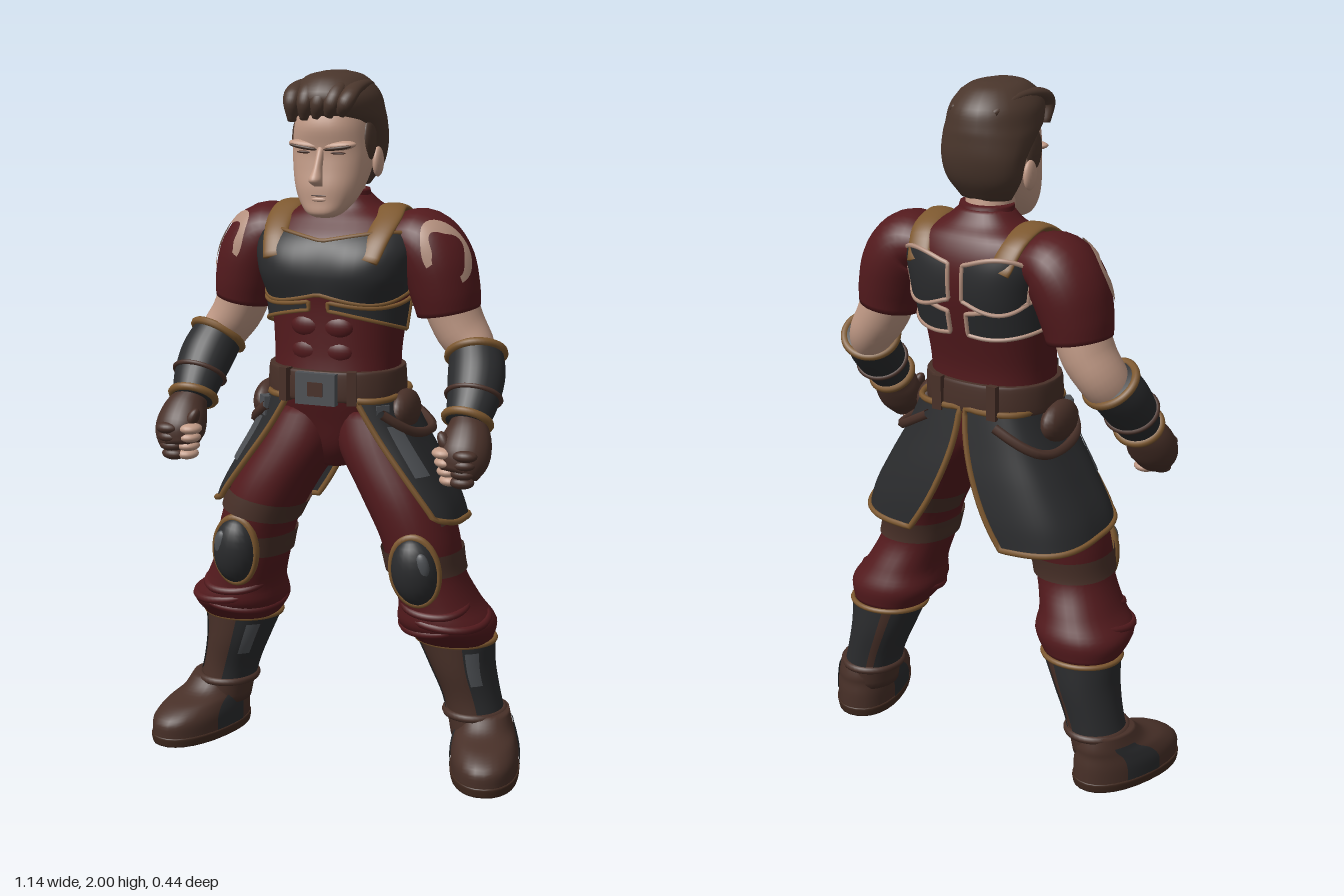
import * as THREE from 'three';

const V = (x, y, z) => new THREE.Vector3(x, y, z);
const RAD = Math.PI / 180;
const lerp = (a, b, t) => a + (b - a) * t;
const paint = (name, color) =>
  Object.assign(new THREE.MeshStandardMaterial({ color, side: THREE.DoubleSide }), { name });

const M = {
  skin: paint('skin', 0xc19a86), hair: paint('hair', 0x4a362c), red: paint('red cloth', 0x531a1d),
  dark: paint('dark leather', 0x2a2b2d), brown: paint('brown leather', 0x483028), gold: paint('ochre trim', 0x7d582f),
  grey: paint('grey metal', 0x4e5155), pale: paint('pale marking', 0xb38f7d), sole: paint('sole', 0x40291f),
};

// Smooth tube surface through sections [x, y, z, rx, rz], listed from the top down.
// Angle 0 is +x, 90 is the front, -90 is the back.
function surf(secs, flat = false, pow = 1) {
  const n = secs.length - 1;
  const pos = new THREE.CatmullRomCurve3(secs.map(s => V(s[0], s[1], s[2])), false, 'catmullrom');
  const rad = new THREE.CatmullRomCurve3(secs.map(s => V(s[3], s[4], 0)), false, 'catmullrom');
  const p = c => Math.sign(c) * Math.abs(c) ** pow;
  const f = (k, deg, off = 0) => {
    const t = Math.min(1, Math.max(0, k / n)), c = pos.getPoint(t), r = rad.getPoint(t);
    const T = flat ? V(0, -1, 0) : pos.getTangent(t);
    const u = V(1, 0, 0).addScaledVector(T, -T.x).normalize(), w = T.clone().cross(u);
    return c.addScaledVector(u, p(Math.cos(deg * RAD)) * (r.x + off))
      .addScaledVector(w, p(Math.sin(deg * RAD)) * (r.y + off));
  };
  f.n = n;
  f.mid = k => pos.getPoint(k / n);
  f.at = y => { // section index at a height
    for (let i = 0; i < n; i++) if (y >= secs[i + 1][1]) return i + (secs[i][1] - y) / (secs[i][1] - secs[i + 1][1]);
    return n;
  };
  return f;
}

function mesh(parent, name, geo, mat) {
  const m = new THREE.Mesh(geo, mat);
  m.name = name;
  parent.add(m);
  return m;
}

function grid(points, idx) {
  const g = new THREE.BufferGeometry().setFromPoints(points);
  g.setIndex(idx);
  g.computeVertexNormals();
  return g;
}

// Closed body from a surf
function body(parent, name, f, mat, N = 28) {
  const R = f.n * 5, pts = [], idx = [];
  for (let i = 0; i <= R; i++) for (let j = 0; j < N; j++) pts.push(f(i / 5, j * 360 / N));
  const c0 = pts.push(f.mid(0)) - 1, c1 = pts.push(f.mid(f.n)) - 1;
  for (let j = 0; j < N; j++) {
    const k = (j + 1) % N;
    for (let i = 0; i < R; i++) {
      const a = i * N + j, b = i * N + k;
      idx.push(a, b, b + N, a, b + N, a + N);
    }
    idx.push(c0, k, j, c1, R * N + j, R * N + k);
  }
  return mesh(parent, name, grid(pts, idx), mat);
}
const sweep = (parent, name, secs, mat, flat, pow) => body(parent, name, surf(secs, flat, pow), mat);

// Open patch f(u, v), with an optional rolled trim around its border
function plate(parent, name, f, mat, trim, r = 0.008, n = 14) {
  const pts = [], idx = [], edge = [];
  for (let i = 0; i <= n; i++) for (let j = 0; j <= n; j++) pts.push(f(i / n, j / n));
  for (let i = 0; i < n; i++) for (let j = 0; j < n; j++) {
    const a = i * (n + 1) + j, b = a + n + 1;
    idx.push(a, b, b + 1, a, b + 1, a + 1);
  }
  mesh(parent, name, grid(pts, idx), mat);
  if (!trim) return;
  for (const e of [q => f(q, 0), q => f(1, q), q => f(1 - q, 1), q => f(0, 1 - q)])
    for (let i = 0; i < n; i++) edge.push(e(i / n));
  mesh(parent, name + 'Trim', new THREE.TubeGeometry(new THREE.CatmullRomCurve3(edge, true), 90, r, 6, true), trim);
}

function ball(parent, name, [x, y, z], [a, b, c], mat, rz = 0) {
  const m = mesh(parent, name, new THREE.SphereGeometry(1, 20, 14), mat);
  m.position.set(x, y, z); m.scale.set(a, b, c); m.rotation.z = rz;
  return m;
}
function box(parent, name, [x, y, z], [a, b, c], mat, ry = 0) {
  const m = mesh(parent, name, new THREE.BoxGeometry(a, b, c), mat);
  m.position.set(x, y, z); m.rotation.y = ry;
  return m;
}
const side = (s, deg) => s > 0 ? deg : 180 - deg;

function buildHead(g) {
  sweep(g, 'head', [[0, 1.9, 0, .1, .12], [0, 1.85, .01, .108, .122], [0, 1.79, .02, .112, .103], [0, 1.74, .027, .109, .1],
    [0, 1.69, .045, .097, .09], [0, 1.65, .065, .079, .07], [0, 1.618, .085, .052, .05], [0, 1.605, .085, .028, .03]], M.skin, true, .88);
  sweep(g, 'neck', [[0, 1.72, -.02, .07, .075], [0, 1.64, -.04, .07, .07], [0, 1.56, -.055, .08, .065]], M.skin, true);
  sweep(g, 'nose', [[0, 1.8, .112, .01, .012], [0, 1.745, .138, .012, .018], [0, 1.712, .155, .019, .022], [0, 1.694, .134, .012, .012]], M.skin, true);
  ball(g, 'lowerLip', [0, 1.657, .128], [.026, .008, .01], M.skin);
  ball(g, 'mouth', [0, 1.668, .13], [.03, .0035, .006], M.brown);
  for (const s of [1, -1]) {
    ball(g, 'browRidge', [s * .046, 1.803, .104], [.054, .014, .024], M.skin, s * .1);
    ball(g, 'eyebrow', [s * .05, 1.798, .121], [.042, .006, .009], M.hair, s * .14);
    ball(g, 'eye', [s * .046, 1.784, .114], [.026, .004, .008], M.brown);
    ball(g, 'ear', [s * .117, 1.752, -.018], [.014, .042, .028], M.skin);
    ball(g, 'sideburn', [s * .104, 1.815, .018], [.017, .06, .038], M.hair);
  }
  sweep(g, 'hair', [[0, 2, .005, .03, .05], [0, 1.985, .006, .08, .1], [0, 1.94, .002, .12, .143], [0, 1.89, -.012, .131, .142],
    [0, 1.855, -.038, .132, .118], [0, 1.8, -.068, .126, .086], [0, 1.74, -.068, .113, .068], [0, 1.685, -.055, .078, .044]], M.hair, true);
  // swept-back locks, parted to one side
  for (let i = 0; i < 5; i++) {
    const x = -.08 + i * .04, h = 1.97 - 2.2 * x * x;
    sweep(g, 'hairLock', [[x * .9 - .012, 1.868 + .005 * i, .12, .012, .01], [x, 1.925, .132, .024, .018], [x * 1.05, h, .08, .024, .016],
      [x, h + .008, -.03, .018, .012], [x * .8, 1.93, -.118, .01, .01]], M.hair);
  }
}

function buildTorso(g) {
  const t = surf([[0, 1.66, -.055, .075, .066], [0, 1.625, -.06, .118, .085], [0, 1.59, -.06, .2, .118], [0, 1.53, -.045, .225, .155],
    [0, 1.45, -.035, .212, .168], [0, 1.35, -.03, .197, .155], [0, 1.22, -.015, .184, .14], [0, 1.12, -.01, .183, .142],
    [0, 1.02, -.02, .175, .125], [0, .94, -.015, .1, .095], [0, .88, -.01, .04, .05]], true, .88);
  body(g, 'shirt', t, M.red, 36);
  sweep(g, 'collar', [[0, 1.672, -.05, .078, .066], [0, 1.64, -.055, .085, .07], [0, 1.6, -.055, .1, .075]], M.red, true);
  // chest armour
  plate(g, 'chestPlate', (u, v) => {
    const m = Math.abs(u - .5) * 2;
    return t(t.at(lerp(1.54 + .022 * Math.sin(m * 2.8), 1.39 - .025 * Math.sin(m * Math.PI), v)), lerp(6, 174, u),
      .012 + .02 * Math.sin(v * Math.PI) * Math.sin(m * Math.PI));
  }, M.dark, M.gold, .006, 22);
  for (const s of [1, -1]) {
    plate(g, 'ribPlate', (u, v) => t(t.at(lerp(1.372 - .015 * Math.sin(u * 3), lerp(1.285, 1.35, u), v)), side(s, lerp(0, 84, u)), .014), M.dark, M.gold, .006);
    // back armour, rounded above and winged below
    plate(g, 'upperBackPlate', (u, v) => t(t.at(lerp(1.53 + .025 * Math.sin(u * Math.PI), 1.43 - .03 * Math.sin(u * Math.PI), v)), side(s, lerp(-34, -86, u)),
      .014 + .014 * Math.sin(u * Math.PI)), M.dark, M.pale, .0065);
    plate(g, 'lowerBackPlate', (u, v) => t(t.at(lerp(lerp(1.45, 1.39, u), lerp(1.35, 1.3, u) + .03 * u ** 4, v)), side(s, lerp(-12, -84, u)), .014), M.dark, M.pale, .0065);
    sweep(g, 'shoulderStrap', [[s * .14, 1.49, .125, .032, .01], [s * .152, 1.55, .08, .036, .012], [s * .16, 1.6, .012, .039, .012],
      [s * .152, 1.623, -.055, .039, .012], [s * .146, 1.594, -.145, .037, .012], [s * .13, 1.52, -.2, .034, .01]], M.gold);
    for (let i = 0; i < 2; i++) ball(g, 'abdominal', [s * .045, 1.3 - i * .07, .103 - i * .002], [.05, .036, .026], M.red);
  }
  // belt, buckle and pouches
  sweep(g, 'belt', [[0, 1.178, -.01, .19, .15], [0, 1.17, -.01, .198, .158], [0, 1.1, -.01, .2, .16], [0, 1.09, -.01, .19, .15]], M.brown, true, .88);
  box(g, 'buckle', [0, 1.13, .152], [.12, .09, .025], M.grey);
  box(g, 'buckleInset', [0, 1.13, .165], [.045, .04, .006], M.brown);
  for (const s of [1, -1]) {
    box(g, 'beltLoop', [s * .1, 1.135, .138], [.026, .095, .028], M.brown, s * .3);
    box(g, 'frontPouch', [s * .172, 1.06, .1], [.04, .055, .035], M.grey, s * .8);
    ball(g, 'hipPouch', [s * .208, 1.055, 0], [.04, .06, .085], M.brown);
    box(g, 'backLoop', [s * .09, 1.135, -.166], [.03, .1, .02], M.brown);
  }
}

function buildSkirt(g) {
  const k = surf([[0, 1.1, -.01, .19, .155], [0, 1, -.015, .24, .166], [0, .9, -.017, .298, .18],
    [0, .8, -.017, .352, .192], [0, .72, -.017, .378, .197]], true, .62);
  for (const s of [1, -1]) {
    plate(g, 'skirtPanel', (u, v) => k(v * (4 - .7 * u * u), side(s, lerp(-89.5 + 13 * v * v, 68 - 36 * v, u)), .004 * Math.sin(u * 9)),
      M.dark, M.gold, .009, 26);
    plate(g, 'skirtScuff', (u, v) => k(lerp(.7, 2.1, v), side(s, lerp(26, 44, u) - 8 * v), .008), M.grey);
    const loop = [...Array(9)].map((_, i) => k(.35 + .75 * Math.sin(i / 8 * Math.PI), side(s, lerp(-70, 45, i / 8)), .01));
    mesh(g, 'hangingStrap', new THREE.TubeGeometry(new THREE.CatmullRomCurve3(loop), 30, .014, 6), M.brown);
  }
}

function buildArm(g, s) {
  const X = a => a.map(([x, ...r]) => [s * x, ...r]);
  const sleeve = surf(X([[.15, 1.54, -.07, .06, .09], [.23, 1.53, -.07, .094, .115], [.275, 1.475, -.07, .104, .12],
    [.3, 1.4, -.07, .099, .112], [.312, 1.335, -.072, .09, .1]]));
  body(g, 'sleeve', sleeve, M.red);
  // hooked marking with an uneven inner edge
  plate(g, 'shoulderMark', (u, v) => {
    const p = lerp(-80, 190, u) * RAD, r = lerp(.84 - .18 * Math.sin(u * 9) ** 2, 1.1, v);
    return sleeve(1.95 - .85 * r * Math.sin(p), side(s, 46 - 36 * r * Math.cos(p)), .004);
  }, M.pale, null, 0, 30);
  sweep(g, 'arm', X([[.3, 1.4, -.07, .078, .085], [.34, 1.3, -.075, .074, .083], [.385, 1.23, -.065, .066, .074], [.41, 1.16, -.01, .06, .06]]), M.skin);
  const b = surf(X([[.398, 1.225, -.06, .076, .072], [.415, 1.17, -.015, .081, .073], [.422, 1.11, .035, .074, .066], [.42, 1.05, .085, .06, .056]]));
  body(g, 'bracer', b, M.dark);
  for (const [k, name, mat] of [[.12, 'bracerTopTrim', M.gold], [2.85, 'bracerEndTrim', M.gold], [1.9, 'bracerStrap', M.brown]]) {
    const ring = [...Array(24)].map((_, i) => b(k, i * 15, .002));
    mesh(g, name, new THREE.TubeGeometry(new THREE.CatmullRomCurve3(ring, true), 48, mat === M.gold ? .012 : .007, 8, true), mat);
  }
  // gloved fist
  sweep(g, 'glove', X([[.42, 1.06, .078, .045, .045], [.43, 1.02, .11, .068, .058], [.432, .97, .145, .074, .062], [.425, .925, .168, .055, .042]]), M.brown);
  for (let i = 0; i < 4; i++) {
    const y = .99 - i * .026;
    ball(g, 'knuckle', [s * (.45 - i * .004), y - .004, .188 - i * .004], [.036, .018, .026], M.brown);
    ball(g, 'finger', [s * (.385 + i * .006), y - .004, .172 - i * .004], [.034, .017, .034], M.skin);
  }
  ball(g, 'thumb', [s * .385, 1.01, .16], [.018, .036, .022], M.brown, s * .5);
}

function buildLeg(g, s) {
  const X = a => a.map(([x, ...r]) => [s * x, ...r]);
  const leg = surf(X([[.085, 1.06, -.02, .1, .125], [.125, .95, -.01, .125, .142], [.198, .82, .012, .122, .14], [.25, .7, .022, .11, .13],
    [.272, .6, .02, .107, .118], [.305, .51, .002, .115, .132], [.325, .445, -.012, .14, .143], [.337, .385, -.04, .112, .108]]), true, .92);
  body(g, 'trouserLeg', leg, M.red, 32);
  // soft cloth folds sunk into the cloth
  for (const [k, a] of [[4.9, 10], [5.5, -25], [5.9, 60]]) {
    const fold = [...Array(9)].map((_, i) => leg(k + .35 * Math.sin(i / 2.5), side(s, a + i * 18), -.004 - .012 * Math.abs(i / 4 - 1) ** 3));
    mesh(g, 'trouserFold', new THREE.TubeGeometry(new THREE.CatmullRomCurve3(fold), 24, .012, 8), M.red);
  }
  // straps around the thigh and knee; the left thigh strap runs behind only
  const strap = (name, k, h, tilt, a0, a1) => plate(g, name, (u, v) => {
    const a = lerp(a0, a1, u);
    return leg(k + h * v - tilt * Math.cos(a * RAD), side(s, a), .008);
  }, M.brown, null, 0, 32);
  strap('thighStrap', 2.3, .45, .2, -180, s > 0 ? 30 : 180);
  strap('kneeStrap', 3.3, .65, 0, -180, 180);
  const pad = new THREE.Group();
  pad.name = 'kneePad';
  pad.position.set(s * .277, .625, .138);
  pad.rotation.set(.08, s * .12, s * .1);
  g.add(pad);
  ball(pad, 'kneeDome', [0, 0, 0], [.068, .1, .055], M.dark);
  mesh(pad, 'kneeTrim', new THREE.TorusGeometry(.069, .0085, 8, 36), M.gold).scale.set(1, 1.45, 1.5);
  ball(pad, 'kneeScuff', [s * .03, .025, .034], [.022, .04, .015], M.grey);
  // boot, with dark panels turned the same way on both legs
  const boot = surf(X([[.337, .388, -.05, .114, .102], [.358, .3, -.055, .093, .1], [.388, .2, -.06, .081, .09], [.415, .09, -.055, .084, .092]]), true);
  const turn = s > 0 ? 40 : 0;
  body(g, 'bootShaft', boot, M.brown);
  plate(g, 'bootOuterPanel', (u, v) => boot(lerp(.15, 2.3, v), side(s, lerp(-110, 25 + turn, u)), .004), M.dark);
  plate(g, 'bootInnerPanel', (u, v) => boot(lerp(.15, 2.3, v), side(s, lerp(100 + turn, 235, u)), .004), M.dark);
  plate(g, 'bootScuff', (u, v) => boot(lerp(.3, 1.4, v), lerp(40, 62, u), .008), M.grey);
  for (const [k, mat, r] of [[.06, M.gold, .008], [2.35, M.brown, .012]]) {
    const ring = [...Array(20)].map((_, i) => boot(k, i * 18, .003));
    mesh(g, 'bootBand', new THREE.TubeGeometry(new THREE.CatmullRomCurve3(ring, true), 40, r, 8, true), mat);
  }
  const foot = new THREE.Group();
  foot.name = 'foot';
  foot.position.set(s * .448, 0, 0);
  foot.rotation.y = s * .3;
  g.add(foot);
  const f = surf([[0, .17, -.065, .07, .085], [0, .13, -.045, .08, .115], [0, .105, -.005, .09, .155], [0, .07, .018, .098, .182], [0, .02, .02, .098, .184]], true, .9);
  body(foot, 'bootFoot', f, M.brown);
  sweep(foot, 'sole', [[0, .028, .02, .1, .186], [0, .022, .02, .102, .188], [0, 0, .02, .098, .184]], M.sole, true, .9);
  for (const a of [0, 180])
    plate(foot, 'footPanel', (u, v) => f(lerp(.8, 3.8, v), a + (a ? -1 : 1) * lerp(-24, 10, u), .004), M.dark);
}

export function createModel() {
  const model = new THREE.Group();
  model.name = 'armouredFighter';
  const part = (name, x, build) => {
    const g = new THREE.Group();
    g.name = name;
    g.position.x = x;
    build(g);
    model.add(g);
  };
  part('headGroup', -.02, buildHead);
  part('torsoGroup', -.02, buildTorso);
  part('skirt', -.01, buildSkirt);
  for (const s of [1, -1]) {
    part(s > 0 ? 'leftArm' : 'rightArm', -.02, g => buildArm(g, s));
    part(s > 0 ? 'leftLeg' : 'rightLeg', -.005, g => buildLeg(g, s));
  }
  return model;
}
